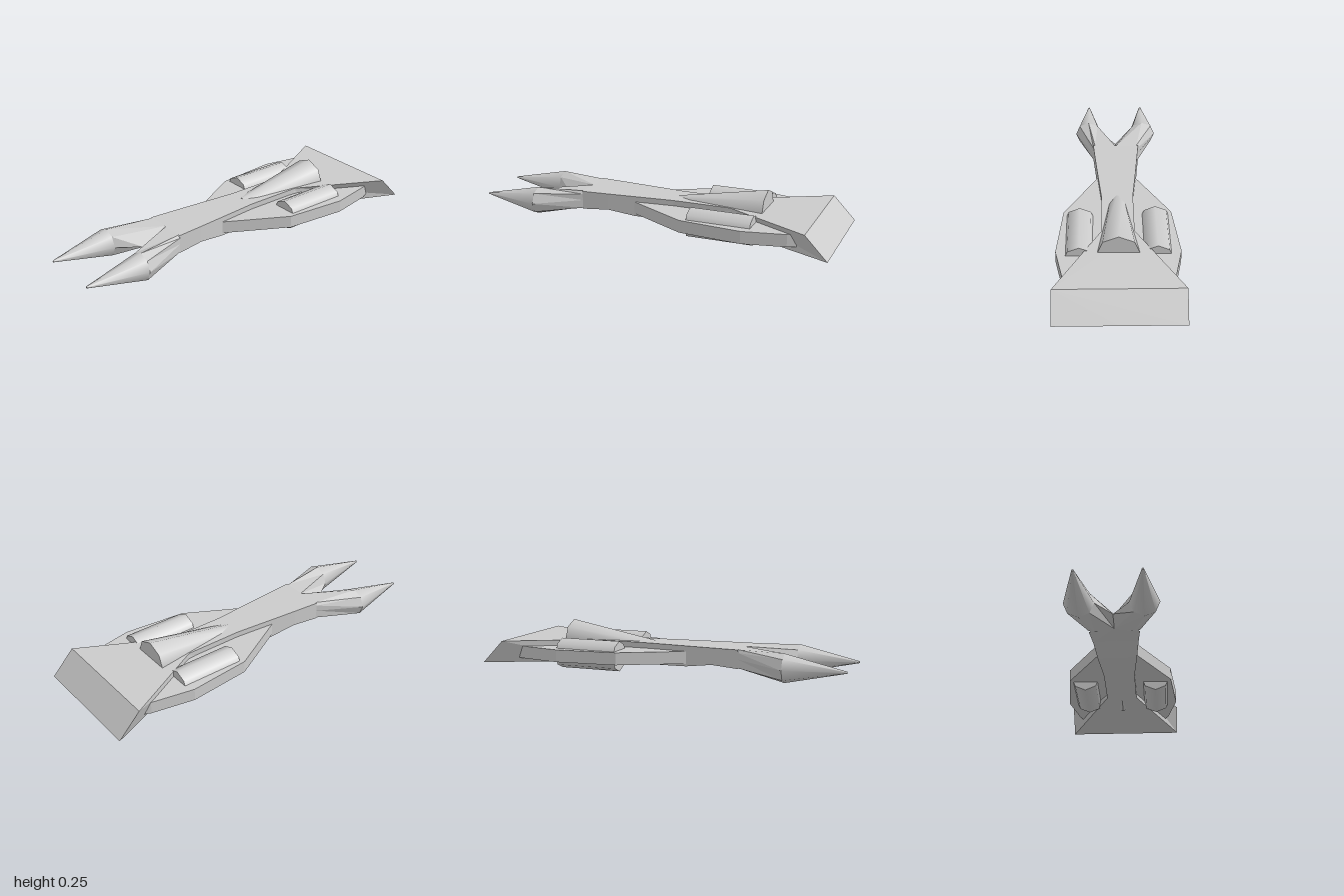
import * as THREE from 'three';

const flat = new THREE.MeshStandardMaterial({ color: 0xcccccc, flatShading: true });
const smooth = new THREE.MeshStandardMaterial({ color: 0xcccccc });

// Skin a list of cross-sections, back to front, each counter-clockwise seen from +z
function loft(rings, capBack, capFront) {
  const n = rings[0].length, pos = [], idx = [];
  rings.forEach(r => r.forEach(p => pos.push(...p)));
  for (let i = 0; i < rings.length - 1; i++) {
    for (let j = 0; j < n; j++) {
      const a = i * n + j, b = i * n + (j + 1) % n;
      idx.push(a, b, b + n, a, b + n, a + n);
    }
  }
  const last = (rings.length - 1) * n;
  for (let j = 1; j < n - 1; j++) {
    if (capBack) idx.push(0, j + 1, j);
    if (capFront) idx.push(last, last + j, last + j + 1);
  }
  const g = new THREE.BufferGeometry();
  g.setAttribute('position', new THREE.Float32BufferAttribute(pos, 3));
  g.setIndex(idx);
  const out = g.toNonIndexed();
  out.computeVertexNormals();
  return out;
}

// Eight-sided cylinder or cone along z with a corner at the top
function octagonal(rFront, rBack, length) {
  return new THREE.CylinderGeometry(rFront, rBack, length, 8).rotateX(Math.PI / 2);
}

export function createModel() {
  const model = new THREE.Group();
  const add = (name, geometry, material, x = 0, y = 0, z = 0) => {
    const m = new THREE.Mesh(geometry, material);
    m.name = name;
    m.position.set(x, y, z);
    model.add(m);
    return m;
  };

  // Hull: [half width, bottom side y, bottom centre y, top z, bottom z]
  const sections = [
    [0.325, 0.025, 0.025, -0.88, -1],
    [0.085, 0.032, 0.032, -0.42, -0.42],
    [0.085, 0.034, 0.034, -0.1, -0.1],
    [0.105, 0.04, 0.04, 0.12, 0.12],
    [0.118, 0.06, 0.07, 0.27, 0.27],
    [0.13, 0.05, 0.065, 0.42, 0.42],
  ];
  const hullRings = sections.map(([w, b, c, zt, zb]) => [
    [w, 0.151, zt], [-w, 0.151, zt], [-w, b, zb], [0, c, zb], [w, b, zb],
  ]);
  add('hull', loft(hullRings, true, false), flat);

  // Fork arm: half of the hull end blending into an octagon
  const armRoot = [
    [0.13, 0.1, 0.42], [0.13, 0.135, 0.42], [0.12, 0.151, 0.42], [0, 0.151, 0.41],
    [0, 0.077, 0.56], [0, 0.065, 0.42], [0.1, 0.05, 0.42], [0.13, 0.055, 0.42],
  ];
  const armEnd = armRoot.map((_, k) => {
    const a = k * Math.PI / 4;
    return [0.16 + 0.076 * Math.cos(a), 0.077 + 0.076 * Math.sin(a), 0.68];
  });

  // Wing outline in plan, drawn as x against -z
  const wing = new THREE.Shape([
    [0.04, -0.12], [0.105, -0.12], [0.285, 0.21], [0.317, 0.55],
    [0.272, 0.78], [0.25, 0.83], [0.04, 0.83],
  ].map(p => new THREE.Vector2(...p)));
  const mirrorWing = new THREE.Shape(wing.getPoints().map(p => new THREE.Vector2(-p.x, p.y)));

  for (const s of [1, -1]) {
    const side = s > 0 ? 'left' : 'right';
    const mirror = ring => {
      const r = ring.map(([x, y, z]) => [s * x, y, z]);
      return s > 0 ? r : r.reverse();
    };
    add(side + 'ForkArm', loft([mirror(armRoot), mirror(armEnd)], false, true), flat);
    add(side + 'ForkTip', octagonal(0.005, 0.076, 0.32), smooth, s * 0.16, 0.077, 0.84);

    const plate = new THREE.ExtrudeGeometry(s > 0 ? wing : mirrorWing, { depth: 0.067, bevelEnabled: false });
    add(side + 'Wing', plate.rotateX(-Math.PI / 2), flat, 0, 0.054, 0);
    add(side + 'EnginePod', octagonal(0.082, 0.082, 0.345), smooth, s * 0.198, 0.087, s > 0 ? -0.412 : -0.4);
  }

  // Dorsal cone, sheared so that its nose sinks into the hull
  const cone = octagonal(0.05, 0.113, 0.5);
  const p = cone.attributes.position;
  for (let i = 0; i < p.count; i++) p.setY(i, p.getY(i) - 0.06 * (p.getZ(i) + 0.25));
  cone.computeVertexNormals();
  add('dorsalCone', cone, smooth, 0, 0.134, -0.35);

  return model;
}
